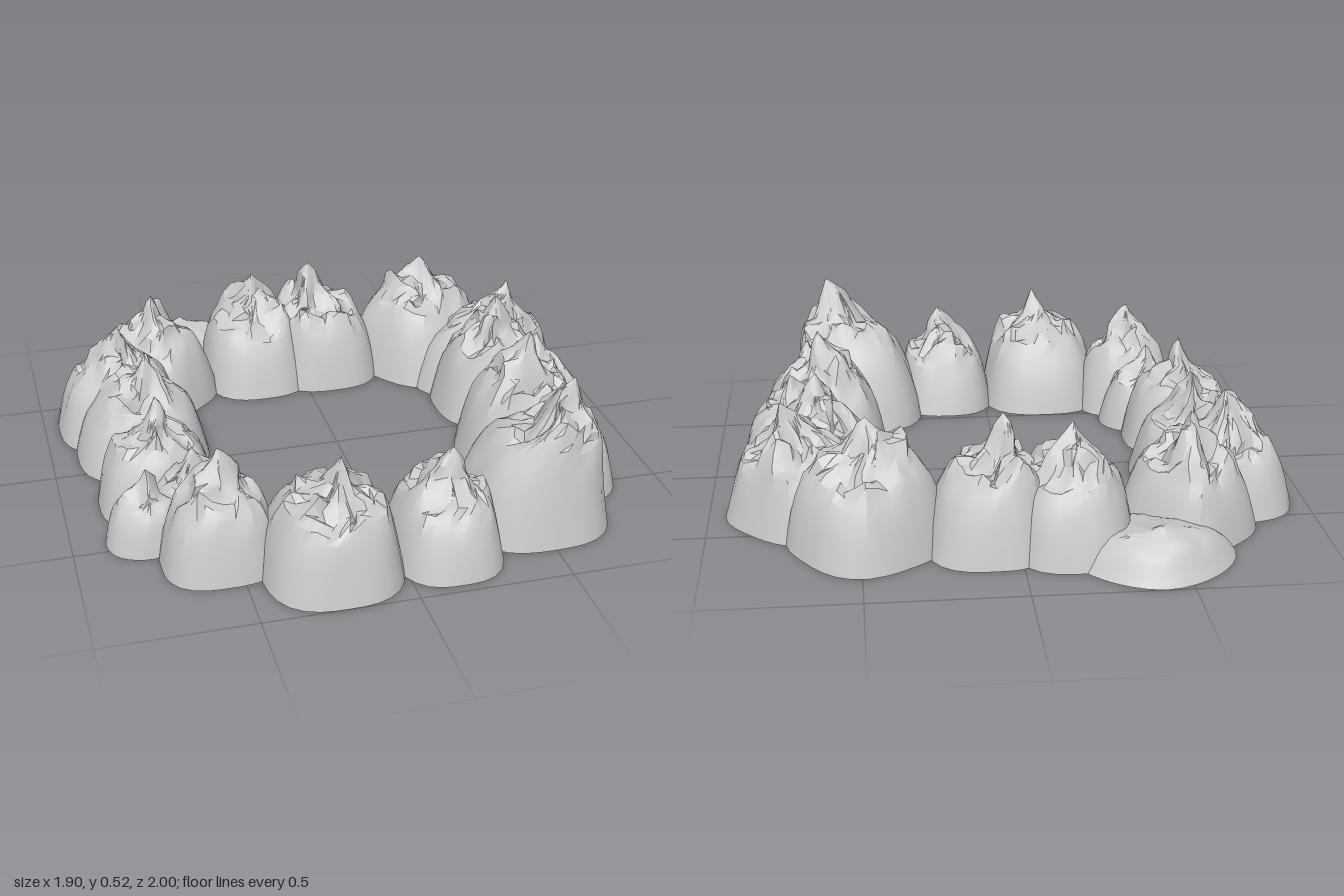
import * as THREE from 'three';
import { toCreasedNormals } from 'three/addons/utils/BufferGeometryUtils.js';

const SIDES = 32;

// repeatable value noise, 0 to 1
function hash(i, j, seed) {
  const s = Math.sin(i * 127.1 + j * 311.7 + seed * 74.7) * 43758.5453;
  return s - Math.floor(s);
}
function noise(x, z, seed) {
  const i = Math.floor(x), j = Math.floor(z), u = x - i, v = z - j;
  const near = THREE.MathUtils.lerp(hash(i, j, seed), hash(i + 1, j, seed), u);
  const far = THREE.MathUtils.lerp(hash(i, j + 1, seed), hash(i + 1, j + 1, seed), u);
  return THREE.MathUtils.lerp(near, far, v);
}

// slope profile from foot to summit: [radius, height, cragginess]
const PROFILE = [
  [1, 0, 0], [0.96, 0.13, 0], [0.91, 0.27, 0.01], [0.85, 0.41, 0.04],
  [0.78, 0.54, 0.1], [0.69, 0.67, 0.2], [0.59, 0.77, 0.3], [0.48, 0.85, 0.38],
  [0.37, 0.91, 0.4], [0.26, 0.96, 0.38], [0.16, 1, 0.3], [0.08, 1.03, 0.2],
];

// open-bottomed mountain shell on a rounded footprint
function mountainGeometry({ x0, x1, z0, z1, h, peak = [0, 0], round = 2.8, turn = 0, sharp = 1, crag = 1 }, seed) {
  const cx = (x0 + x1) / 2, cz = (z0 + z1) / 2;
  const hx = (x1 - x0) / 2, hz = (z1 - z0) / 2;
  // the crest is longer along the ring than across it
  const onSide = Math.abs(cx) > Math.abs(cz);
  const powX = sharp * (onSide ? 1 : 0.85), powZ = sharp * (onSide ? 0.85 : 1);
  const pos = [], index = [];
  const addPoint = (r, y, c, a) => {
    const ca = Math.cos(a), sa = Math.sin(a);
    const k = (Math.abs(Math.cos(a + turn)) ** round + Math.abs(Math.sin(a + turn)) ** round) ** (-1 / round);
    // gullies cut into the slopes
    const gully = k * (1 - 0.16 * y * crag * noise(ca * 3 + 9, sa * 3 + 9, seed));
    const x = cx + hx * (r ** powX * ca * gully + peak[0] * y * y);
    const z = cz + hz * (r ** powZ * sa * gully + peak[1] * y * y);
    const rough = 0.6 * noise(x * 13, z * 13, seed) + 0.4 * noise(x * 32, z * 32, seed + 40);
    const shift = 0.12 * c * crag;
    pos.push(
      x + shift * (noise(x * 30, z * 30, seed + 80) - 0.5),
      y - c * crag * rough,
      z + shift * (noise(x * 30, z * 30, seed + 120) - 0.5));
  };
  PROFILE.forEach(([r, y, c]) => {
    for (let i = 0; i < SIDES; i++) addPoint(r, y, c, (i / SIDES) * Math.PI * 2);
  });
  const top = pos.length / 3;
  addPoint(0, 1.06, 0.12, 0);

  // bring the highest crag to the wanted height
  let highest = 0;
  for (let i = 1; i < pos.length; i += 3) highest = Math.max(highest, pos[i]);
  for (let i = 1; i < pos.length; i += 3) pos[i] *= h / highest;

  const last = PROFILE.length - 1;
  for (let j = 0; j <= last; j++) {
    for (let i = 0; i < SIDES; i++) {
      const a = j * SIDES + i, b = j * SIDES + (i + 1) % SIDES;
      if (j === last) index.push(a, top, b);
      else index.push(a, a + SIDES, b, b, a + SIDES, b + SIDES);
    }
  }
  const g = new THREE.BufferGeometry();
  g.setAttribute('position', new THREE.Float32BufferAttribute(pos, 3));
  g.setIndex(index);
  return toCreasedNormals(g, 0.45);
}

// footprints, heights and summit offsets, going round the ring
const MOUNTAINS = [
  // back
  { name: 'backFoothill', x0: -0.68, x1: -0.14, z0: -1, z1: -0.5, h: 0.15, peak: [0, -0.4], round: 1.7, sharp: 1.3, crag: 0.5 },
  { name: 'backLeftMountain', x0: -0.37, x1: 0.03, z0: -0.87, z1: -0.38, h: 0.41 },
  { name: 'backMiddleMountain', x0: -0.11, x1: 0.3, z0: -0.83, z1: -0.38, h: 0.44, peak: [-0.2, 0] },
  { name: 'backRightMountain', x0: 0.24, x1: 0.72, z0: -0.82, z1: -0.33, h: 0.43, turn: 0.6 },
  // +x side
  { name: 'sideCornerMountain', x0: 0.42, x1: 0.92, z0: -0.57, z1: -0.12, h: 0.4, peak: [0.3, 0], turn: 0.7 },
  { name: 'sideInnerMountain', x0: 0.42, x1: 0.86, z0: -0.36, z1: 0.05, h: 0.43 },
  { name: 'sideOuterMountain', x0: 0.55, x1: 0.91, z0: -0.2, z1: 0.27, h: 0.36 },
  { name: 'sideTallMountain', x0: 0.39, x1: 0.82, z0: 0.02, z1: 0.4, h: 0.46, peak: [0.1, 0] },
  { name: 'sideFrontMountain', x0: 0.49, x1: 0.85, z0: 0.22, z1: 0.62, h: 0.36 },
  // front
  { name: 'tallestMountain', x0: 0.25, x1: 0.74, z0: 0.37, z1: 0.86, h: 0.52, peak: [0.4, 0.22], sharp: 1.1, crag: 0.9 },
  { name: 'frontMiddleMountain', x0: -0.03, x1: 0.33, z0: 0.52, z1: 0.97, h: 0.37, peak: [0.1, 0] },
  { name: 'frontMountain', x0: -0.45, x1: 0, z0: 0.5, z1: 1, h: 0.42, peak: [0.1, 0.2] },
  { name: 'frontCornerMountain', x0: -0.74, x1: -0.36, z0: 0.45, z1: 0.8, h: 0.4 },
  // -x side
  { name: 'outerFoothill', x0: -0.89, x1: -0.62, z0: 0.34, z1: 0.58, h: 0.26, round: 2.2 },
  { name: 'innerFoothill', x0: -0.76, x1: -0.42, z0: 0.28, z1: 0.56, h: 0.3, round: 2.2 },
  { name: 'farSideFrontMountain', x0: -0.88, x1: -0.48, z0: 0.05, z1: 0.4, h: 0.39 },
  { name: 'farSideMiddleMountain', x0: -0.91, x1: -0.45, z0: -0.33, z1: 0.1, h: 0.38, peak: [0.1, 0] },
  { name: 'farSideBackMountain', x0: -0.95, x1: -0.5, z0: -0.55, z1: -0.12, h: 0.39 },
  { name: 'farCornerMountain', x0: -0.77, x1: -0.35, z0: -0.76, z1: -0.32, h: 0.4, turn: 0.7 },
];

export function createModel() {
  const group = new THREE.Group();
  group.name = 'mountainRing';
  const rock = new THREE.MeshStandardMaterial({ color: 0xcccccc, side: THREE.DoubleSide });
  MOUNTAINS.forEach((m, i) => {
    const mesh = new THREE.Mesh(mountainGeometry(m, i + 1), rock);
    mesh.name = m.name;
    group.add(mesh);
  });
  return group;
}
